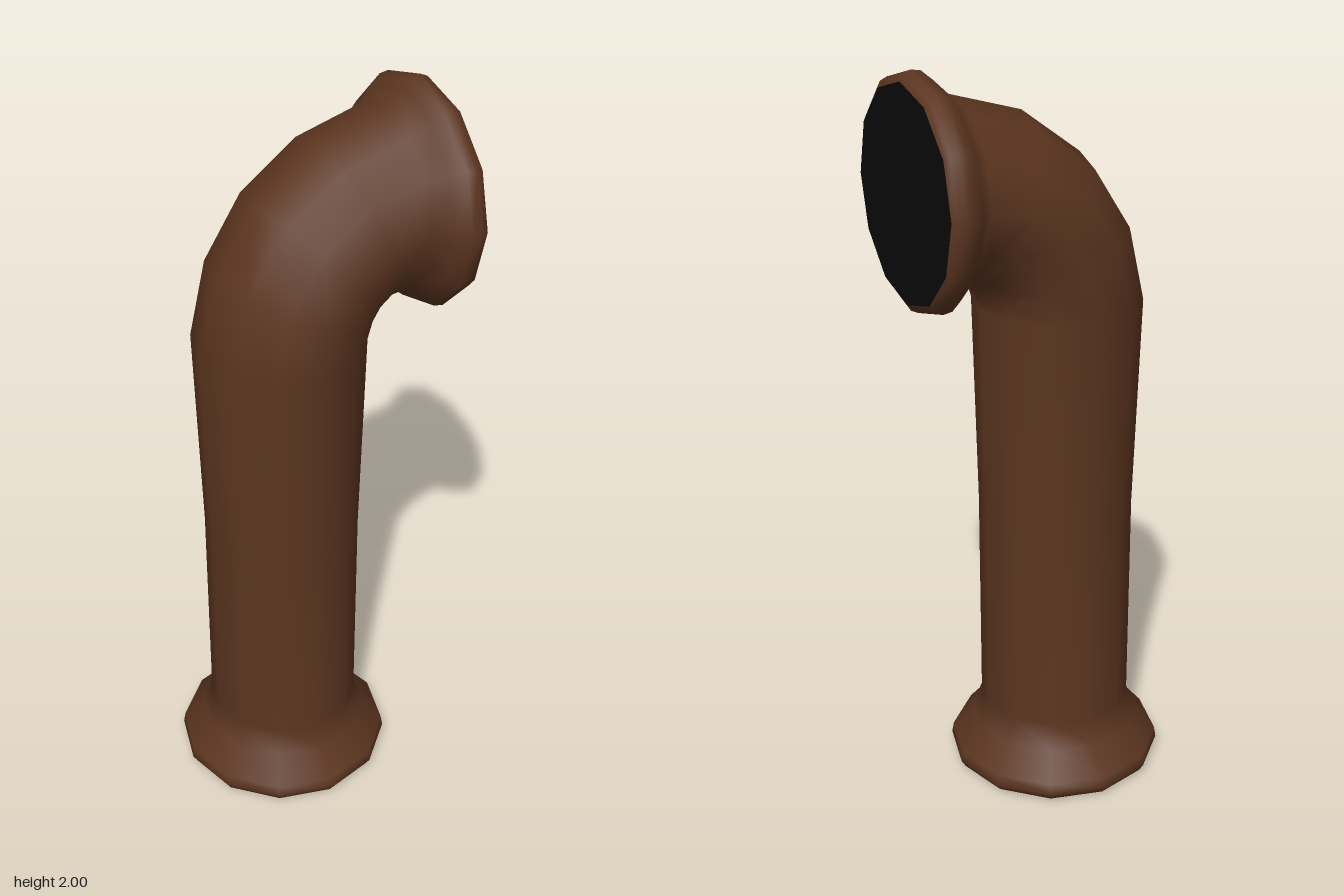
import * as THREE from 'three';

const SIDES = 12;
const AXIS_X = -0.06; // centre of the upright pipe
const AXIS_Y = 1.7;   // centre of the outlet

// Each ring: outer point of the bend, inner point of the bend, half width in z
const upright = (y, r) => [[AXIS_X - r, y], [AXIS_X + r, y], r];
const outlet = (x, r) => [[x, AXIS_Y + r], [x, AXIS_Y - r], r];

// Skin a run of rings into one smooth tube
function loft(rings) {
  const pos = [], index = [];
  rings.forEach(([o, i, rz], k) => {
    const cx = (o[0] + i[0]) / 2, cy = (o[1] + i[1]) / 2;
    for (let j = 0; j < SIDES; j++) {
      const t = (j / SIDES) * Math.PI * 2, c = Math.cos(t);
      pos.push(cx + c * (o[0] - cx), cy + c * (o[1] - cy), rz * Math.sin(t));
      if (k === rings.length - 1) continue;
      const a = k * SIDES + j, b = k * SIDES + ((j + 1) % SIDES);
      index.push(a, b, a + SIDES, b, b + SIDES, a + SIDES);
    }
  });
  const geo = new THREE.BufferGeometry();
  geo.setAttribute('position', new THREE.Float32BufferAttribute(pos, 3));
  geo.setIndex(index);
  geo.computeVertexNormals();
  return geo;
}

export function createModel() {
  const group = new THREE.Group();
  const brown = new THREE.MeshStandardMaterial({ color: 0x5c3520 });
  const black = new THREE.MeshStandardMaterial({ color: 0x0a0a0a });
  const add = (name, geo, mat) => {
    const mesh = new THREE.Mesh(geo, mat);
    mesh.name = name;
    group.add(mesh);
    return mesh;
  };

  // Flared foot, upright, elbow and flared outlet as one skin
  const flare = [[0, 0.275], [0.01, 0.288], [0.03, 0.3], [0.06, 0.295], [0.13, 0.236], [0.2, 0.21]];
  const rings = [
    ...flare.map(([y, r]) => upright(y, r)),
    upright(0.8, 0.21),
    [[-0.285, 1.38], [0.16, 1.38], 0.232],
    [[-0.235, 1.59], [0.17, 1.415], 0.235],
    [[-0.125, 1.76], [0.185, 1.44], 0.235],
    [[0.04, 1.88], [0.208, 1.46], 0.235],
    outlet(0.235, 0.235),
    outlet(0.275, 0.272),
    outlet(0.305, 0.296),
    outlet(0.33, 0.3),
    outlet(0.35, 0.291),
    outlet(0.36, 0.275),
  ];
  add('pipe', loft(rings), brown);

  // Dark discs closing both mouths
  const disc = new THREE.CircleGeometry(0.275, SIDES);
  const foot = add('bottomOpening', disc, black);
  foot.rotation.x = Math.PI / 2;
  foot.position.set(AXIS_X, 0, 0);
  const mouth = add('outletOpening', disc, black);
  mouth.rotation.y = Math.PI / 2;
  mouth.position.set(0.36, AXIS_Y, 0);

  return group;
}
